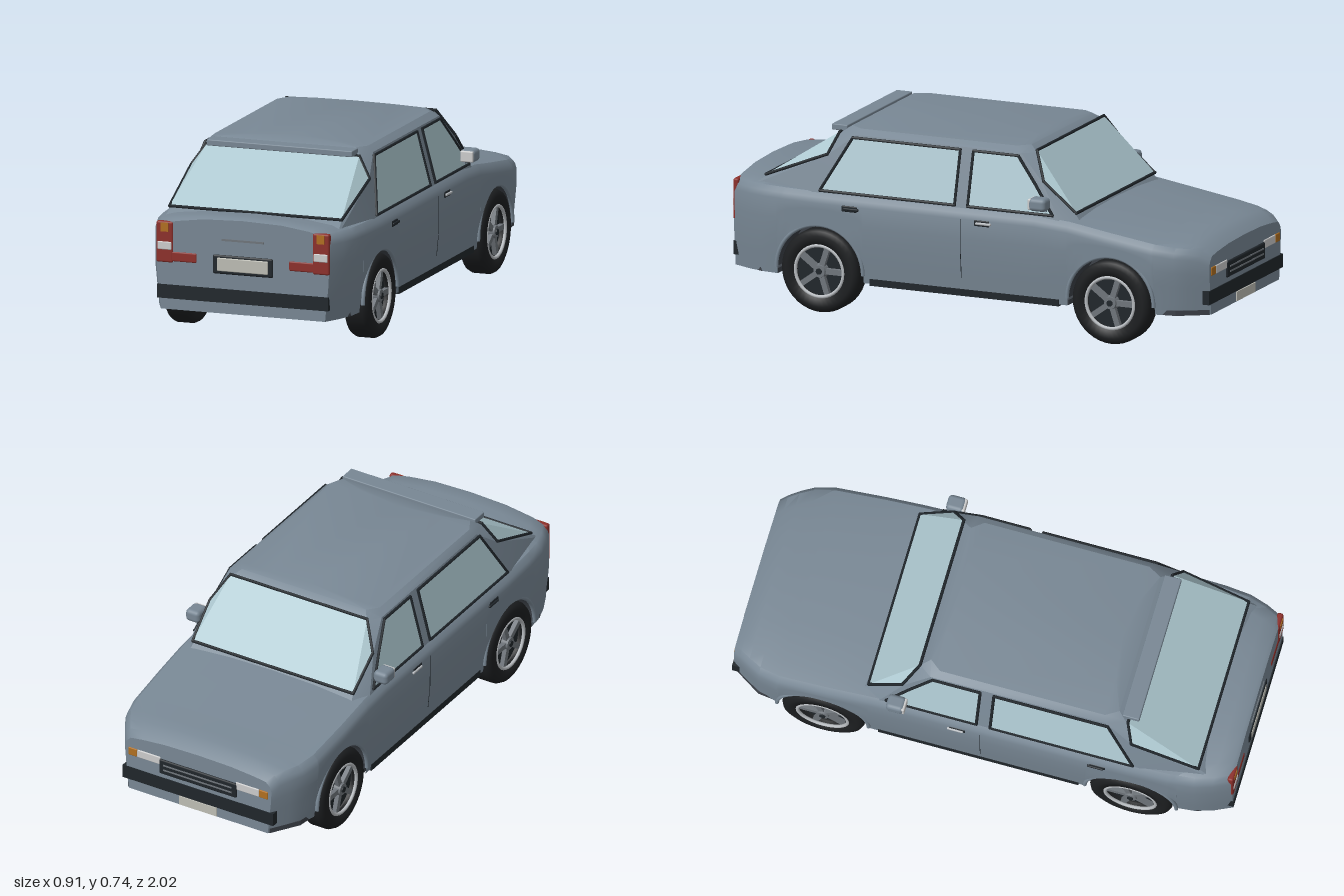
import * as THREE from 'three';
import { toCreasedNormals } from 'three/addons/utils/BufferGeometryUtils.js';
import { ConvexGeometry } from 'three/addons/geometries/ConvexGeometry.js';
import { RoundedBoxGeometry } from 'three/addons/geometries/RoundedBoxGeometry.js';

const mat = (color, side = THREE.FrontSide) => new THREE.MeshStandardMaterial({ color, side });
const PAINT = mat(0x788794), DARK = mat(0x20262b), FLOOR = mat(0x3c4148, THREE.DoubleSide);
const GLASS = mat(0xadc8d0, THREE.DoubleSide), RED = mat(0x8c2f2a), AMBER = mat(0xb06f20), WHITE = mat(0xd0d4d4);
const PLATE = mat(0xbdbdb4), TYRE = mat(0x1c1e20, THREE.DoubleSide), SILVER = mat(0xb8bcc0), ALLOY = mat(0x6f757b);
const AXLES = [0.61, -0.62], WHEEL_R = 0.165, ARCH_R = 0.183, BOTTOM = 0.135;
const V = (x, y, z) => new THREE.Vector3(x, y, z);

function add(parent, name, geometry, material, x = 0, y = 0, z = 0) {
  const m = new THREE.Mesh(geometry, material);
  m.name = name;
  m.position.set(x, y, z);
  parent.add(m);
  return m;
}
// Box given by its limits on each axis
function box(parent, name, material, [x0, x1], [y0, y1], [z0, z1], r = 0) {
  const s = [x1 - x0, y1 - y0, z1 - z0];
  const g = r ? new RoundedBoxGeometry(...s, 3, r) : new THREE.BoxGeometry(...s);
  return add(parent, name, g, material, (x0 + x1) / 2, (y0 + y1) / 2, (z0 + z1) / 2);
}
// Thin round bar between two points
function rod(parent, name, p, q, r, material) {
  const m = add(parent, name, new THREE.CylinderGeometry(r, r, p.distanceTo(q) + r, 6), material);
  m.position.copy(p).lerp(q, 0.5);
  m.quaternion.setFromUnitVectors(V(0, 1, 0), q.clone().sub(p).normalize());
}
// Pane made of convex faces, with a dark seal along its outline
function pane(parent, name, faces, outline) {
  const pos = [];
  for (const f of faces)
    for (let i = 1; i < f.length - 1; i++) for (const p of [f[0], f[i], f[i + 1]]) pos.push(p.x, p.y, p.z);
  const g = new THREE.BufferGeometry();
  g.setAttribute('position', new THREE.Float32BufferAttribute(pos, 3));
  g.computeVertexNormals();
  add(parent, name, g, GLASS);
  outline.forEach((p, i) => rod(parent, name + 'Seal', p, outline[(i + 1) % outline.length], 0.006, DARK));
}

// Body stations: z, half width, shoulder height, centre height
const STATIONS = [
  [-1, 0.33, 0.365, 0.385], [-0.97, 0.35, 0.385, 0.405], [-0.93, 0.375, 0.395, 0.42], [-0.88, 0.402, 0.4, 0.425],
  [-0.8, 0.42, 0.41, 0.433], [-0.6, 0.425, 0.44, 0.46], [-0.44, 0.425, 0.465, 0.48], [-0.3, 0.425, 0.475, 0.485],
  [0.6, 0.425, 0.475, 0.49], [0.76, 0.42, 0.477, 0.498], [0.86, 0.41, 0.478, 0.508], [0.93, 0.388, 0.478, 0.512],
  [0.985, 0.362, 0.478, 0.512], [1, 0.355, 0.47, 0.505]];
function station(z) {
  const i = Math.max(1, STATIONS.findIndex(s => s[0] >= z));
  const a = STATIONS[i - 1], b = STATIONS[i], t = (z - a[0]) / (b[0] - a[0]);
  return a.map((v, k) => v + (b[k] - v) * t);
}
// Lower edge of the side panel, raised over the wheels
function lowerEdge(z) {
  for (const c of AXLES) {
    const d = Math.abs(z - c);
    if (d <= ARCH_R) return WHEEL_R + Math.sqrt(ARCH_R * ARCH_R - d * d);
  }
  return BOTTOM;
}
function section(z) {
  const [, w, sh, top] = station(z), b = lowerEdge(z), half = [];
  for (let i = 0; i <= 4; i++) {
    const y = b + (sh - 0.04 - b) * i / 4;
    half.push(V(w - 0.1 * Math.max(0, 0.3 - y), y, z));
  }
  const rise = top - sh;
  half.push(V(w - 0.007, sh - 0.018, z), V(w - 0.025, sh, z), V(w - 0.08, sh + rise * 0.4, z), V(w * 0.45, sh + rise * 0.85, z));
  return [...half, V(0, top, z), ...half.map(p => V(-p.x, p.y, z)).reverse()];
}
function bodyGeometry() {
  const zs = STATIONS.map(s => s[0]);
  for (const c of AXLES) {
    for (let i = 0; i <= 20; i++) zs.push(c - ARCH_R * Math.cos(Math.PI * i / 20));
    zs.push(c - ARCH_R - 0.001, c + ARCH_R + 0.001);
  }
  const rings = zs.sort((a, b) => a - b).map(section), n = rings[0].length, idx = [];
  for (let j = 0; j < rings.length - 1; j++)
    for (let i = 0; i < n - 1; i++) {
      const a = j * n + i, c = a + n;
      idx.push(a, a + 1, c, a + 1, c + 1, c);
    }
  const e = (rings.length - 1) * n;
  for (let i = 1; i < n - 1; i++) idx.push(0, i + 1, i, e, e + i, e + i + 1);
  const g = new THREE.BufferGeometry();
  g.setAttribute('position', new THREE.Float32BufferAttribute(rings.flat().flatMap(p => [p.x, p.y, p.z]), 3));
  g.setIndex(idx);
  return toCreasedNormals(g, 0.6);
}

function buildCabin(car) {
  // Half the corner points of the cabin: roof, pillars and belt line
  const half = [
    [0.362, 0.46, 0.93], [0.405, 0.46, 0.65], [0.405, 0.46, -0.4], [0.365, 0.46, -0.47],
    [0.366, 0.615, 0.6], [0.366, 0.6, -0.31], [0.31, 0.7, 0.56], [0.34, 0.7, 0.49], [0.342, 0.7, -0.21], [0.305, 0.7, -0.26],
    [0.285, 0.723, 0.53], [0.315, 0.721, 0.48], [0.315, 0.721, -0.18], [0.28, 0.723, -0.225],
    [0.16, 0.733, 0.48], [0.16, 0.733, -0.2], [0.001, 0.737, 0.46], [0.001, 0.737, -0.19]];
  const hull = new ConvexGeometry(half.flatMap(([x, y, z]) => [V(x, y, z), V(-x, y, z)]));
  add(car, 'cabin', toCreasedNormals(hull, 0.4), PAINT);
  // Wrap-around front and rear screens
  const screen = (name, a, p, c, dz) => {
    const at = ([x, y, z], s) => V(s * (x + 0.003), y + 0.004, z + dz);
    const [al, pl, cl, ar, pr, cr] = [1, -1].flatMap(s => [at(a, s), at(p, s), at(c, s)]);
    pane(car, name, [[al, cl, cr, ar], [al, pl, cl], [ar, cr, pr]], [al, pl, cl, cr, pr, ar]);
  };
  screen('rearScreen', [0.352, 0.506, 0.86], [0.364, 0.615, 0.595], [0.311, 0.695, 0.567], 0.004);
  screen('windscreen', [0.359, 0.487, -0.448], [0.364, 0.6, -0.312], [0.305, 0.705, -0.257], -0.004);
  // Side windows
  for (const s of [1, -1]) {
    const side = pts => pts.map(([z, y]) => V(s * (0.409 - 0.265 * (y - 0.46)), y, z));
    const rear = side([[0.615, 0.482], [0.5, 0.69], [0.045, 0.69], [0.045, 0.482]]);
    const front = side([[-0.01, 0.482], [-0.01, 0.69], [-0.2, 0.69], [-0.285, 0.59], [-0.37, 0.482]]);
    pane(car, 'rearSideWindow', [rear], rear);
    pane(car, 'frontSideWindow', [front], front);
  }
  box(car, 'roofSpoiler', PAINT, [-0.3, 0.3], [0.7, 0.724], [0.545, 0.612], 0.004);
}

function buildWheel() {
  const wheel = new THREE.Group();
  wheel.name = 'wheel';
  const profile = [[0.085, -0.05], [0.14, -0.053], [0.157, -0.045], [0.165, -0.03], [0.165, 0.03], [0.157, 0.045], [0.14, 0.053], [0.108, 0.05], [0.103, 0.025]];
  add(wheel, 'tyre', new THREE.LatheGeometry(profile.map(p => new THREE.Vector2(...p)), 40), TYRE);
  add(wheel, 'rimRing', new THREE.TorusGeometry(0.101, 0.007, 8, 40), SILVER, 0, 0.045, 0).rotation.x = Math.PI / 2;
  add(wheel, 'rimBack', new THREE.CylinderGeometry(0.102, 0.102, 0.06, 32), DARK, 0, -0.01, 0);
  add(wheel, 'innerDisc', new THREE.CylinderGeometry(0.07, 0.085, 0.01, 32), ALLOY, 0, -0.046, 0);
  add(wheel, 'hub', new THREE.CylinderGeometry(0.024, 0.03, 0.03, 20), ALLOY, 0, 0.033, 0);
  add(wheel, 'hubCap', new THREE.CylinderGeometry(0.012, 0.012, 0.006, 16), DARK, 0, 0.05, 0);
  for (let i = 0; i < 5; i++) {
    const arm = new THREE.BoxGeometry(0.08, 0.018, 0.022).translate(0.06, 0.032, 0);
    add(wheel, 'spoke', arm, ALLOY).rotation.y = i * Math.PI * 0.4 + Math.PI / 2;
  }
  return wheel;
}

function buildRunningGear(car) {
  // Floor with notches for the wheels
  const edge = [[0.32, -0.995], [0.39, -0.885], [0.4, -0.803], [0.28, -0.803], [0.28, -0.437], [0.4, -0.437],
    [0.4, 0.427], [0.28, 0.427], [0.28, 0.793], [0.4, 0.793], [0.392, 0.87], [0.34, 0.99]];
  const outline = [...edge, ...edge.map(([x, z]) => [-x, z]).reverse()].map(p => new THREE.Vector2(...p));
  const floor = new THREE.ExtrudeGeometry(new THREE.Shape(outline), { depth: 0.02, bevelEnabled: false });
  add(car, 'floor', floor.rotateX(Math.PI / 2), FLOOR, 0, BOTTOM + 0.02, 0);
  for (const z of AXLES)
    for (const s of [1, -1]) {
      const wheel = buildWheel();
      wheel.position.set(s * 0.372, WHEEL_R, z);
      wheel.rotation.z = -s * Math.PI / 2;
      car.add(wheel);
      // Wheel well, its inner wall and the arch lip
      const well = new THREE.CylinderGeometry(ARCH_R, ARCH_R, 0.13, 28, 1, true, 0, Math.PI).rotateZ(Math.PI / 2);
      add(car, 'wheelWell', well, FLOOR, s * 0.345, WHEEL_R, z);
      const wall = new THREE.CircleGeometry(ARCH_R, 28, 0, Math.PI).rotateY(Math.PI / 2);
      add(car, 'wheelWellWall', wall, FLOOR, s * 0.28, WHEEL_R, z);
      const lip = new THREE.TorusGeometry(ARCH_R, 0.008, 8, 32, Math.PI).rotateY(Math.PI / 2);
      add(car, 'archLip', lip, PAINT, s * 0.415, WHEEL_R, z);
    }
}

function buildTrim(car) {
  for (const s of [1, -1]) {
    const X = (a, b) => (s > 0 ? [a, b] : [-b, -a]);
    // Sides: sill, handles, door seam and mirror
    box(car, 'sill', DARK, X(0.38, 0.412), [0.128, 0.155], [-0.4, 0.4]);
    for (const z of [0.48, -0.08]) {
      box(car, 'handleRecess', DARK, X(0.415, 0.427), [0.413, 0.438], [z - 0.033, z + 0.033], 0.005);
      box(car, 'doorHandle', z < 0 ? SILVER : DARK, X(0.42, 0.433), [0.42, 0.43], [z - 0.04, z + 0.025], 0.004);
    }
    rod(car, 'doorSeam', V(s * 0.4155, 0.2, 0.01), V(s * 0.4245, 0.3, 0.01), 0.0015, DARK);
    rod(car, 'doorSeam', V(s * 0.4245, 0.3, 0.01), V(s * 0.4245, 0.435, 0.01), 0.0015, DARK);
    box(car, 'mirror', PAINT, X(0.393, 0.455), [0.503, 0.554], [-0.36, -0.288], 0.016);
    box(car, 'mirrorGlass', WHITE, X(0.398, 0.451), [0.507, 0.55], [-0.3, -0.285], 0.005);
    box(car, 'mirrorArm', PAINT, X(0.37, 0.41), [0.495, 0.52], [-0.345, -0.31]);
    // Rear lamps
    box(car, 'tailLamp', RED, X(0.287, 0.357), [0.318, 0.48], [0.98, 1.004], 0.008);
    box(car, 'tailLampBar', RED, X(0.19, 0.345), [0.324, 0.363], [0.98, 1.003], 0.006);
    box(car, 'rearIndicator', AMBER, X(0.306, 0.337), [0.44, 0.475], [0.99, 1.006]);
    box(car, 'reverseLamp', WHITE, X(0.293, 0.351), [0.369, 0.401], [0.99, 1.007], 0.004);
    // Front lamps
    box(car, 'headlamp', WHITE, X(0.17, 0.275), [0.288, 0.322], [-1.004, -0.98], 0.004);
    box(car, 'frontIndicator', AMBER, X(0.275, 0.315), [0.288, 0.322], [-1.004, -0.98], 0.004);
  }
  // Rear: bumper strip, plate and boot handle
  box(car, 'rearBumper', DARK, [-0.352, 0.352], [0.178, 0.232], [0.98, 1.004]);
  box(car, 'rearPlateFrame', DARK, [-0.125, 0.125], [0.29, 0.366], [0.985, 1.005], 0.008);
  box(car, 'rearPlate', PLATE, [-0.105, 0.105], [0.302, 0.355], [0.99, 1.008], 0.004);
  box(car, 'bootHandle', ALLOY, [-0.087, 0.087], [0.421, 0.429], [0.99, 1.003]);
  // Front: bumper strip, grille and plate
  box(car, 'frontBumper', DARK, [-0.34, 0.34], [0.178, 0.232], [-1.004, -0.975]);
  box(car, 'grille', DARK, [-0.175, 0.175], [0.25, 0.315], [-1.007, -0.985], 0.007);
  for (const y of [0.272, 0.293]) box(car, 'grilleBar', ALLOY, [-0.155, 0.155], [y - 0.003, y + 0.003], [-1.009, -0.99]);
  box(car, 'frontPlate', PLATE, [-0.085, 0.085], [0.138, 0.175], [-1.005, -0.985]);
}

export function createModel() {
  const car = new THREE.Group();
  car.name = 'car';
  add(car, 'body', bodyGeometry(), PAINT);
  buildCabin(car);
  buildRunningGear(car);
  buildTrim(car);
  return car;
}
